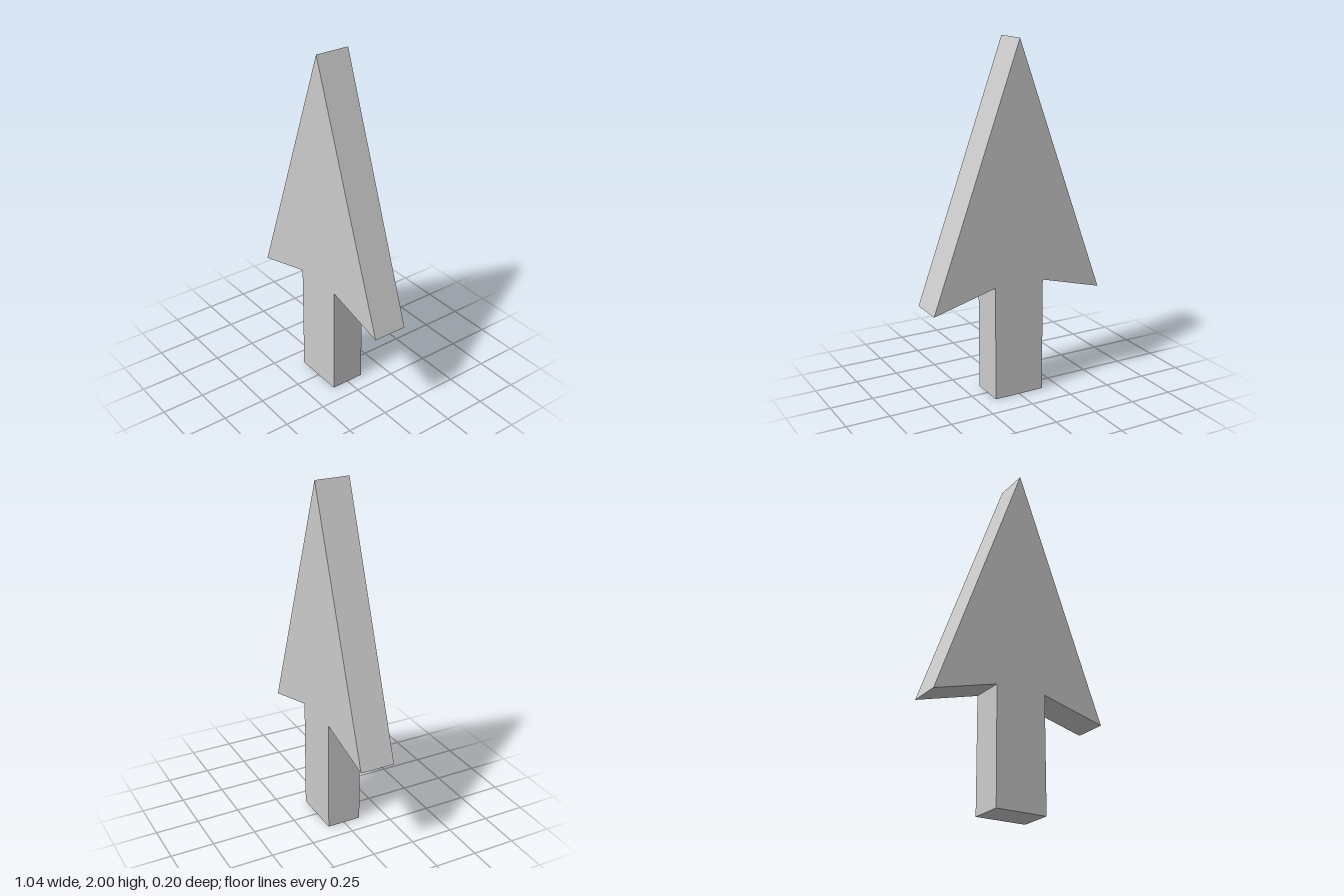
import * as THREE from 'three';

export function createModel() {
  const group = new THREE.Group();
  group.name = 'arrowPointer';
  const depth = 0.2;

  // Right half of the outline, from the base of the shaft up to the barb
  const half = [[0.15, 0], [0.15, 0.66], [0.52, 0.56]];
  const mirrored = half.map(([x, y]) => [-x, y]).reverse();
  const outline = [...half, [0, 2], ...mirrored].map(([x, y]) => new THREE.Vector2(x, y));

  // Flat slab, centred front to back
  const geometry = new THREE.ExtrudeGeometry(new THREE.Shape(outline), { depth, bevelEnabled: false });
  geometry.translate(0, 0, -depth / 2);

  const arrow = new THREE.Mesh(
    geometry,
    new THREE.MeshStandardMaterial({ color: 0xcccccc, flatShading: true })
  );
  arrow.name = 'arrow';
  group.add(arrow);
  return group;
}
